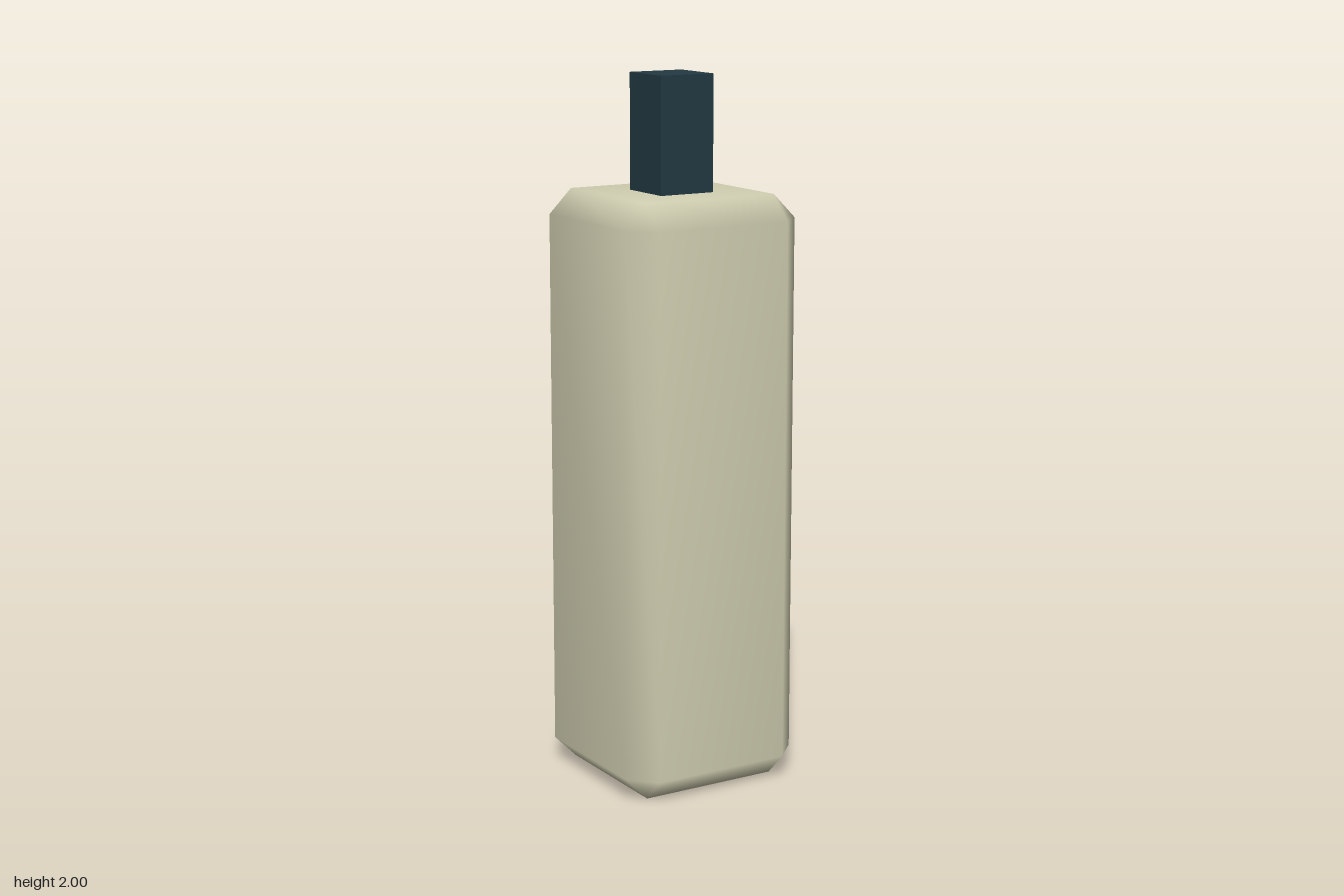
import * as THREE from 'three';
import { ConvexGeometry } from 'three/addons/geometries/ConvexGeometry.js';
import { mergeVertices } from 'three/addons/utils/BufferGeometryUtils.js';

// Box with single-facet bevels on every edge and softly shaded normals
function bevelledBox(w, h, d, bevel) {
  const half = [w / 2, h / 2, d / 2];
  const points = [];
  for (const sx of [-1, 1]) for (const sy of [-1, 1]) for (const sz of [-1, 1]) {
    const sign = [sx, sy, sz];
    for (let axis = 0; axis < 3; axis++) {
      const p = half.map((v, i) => sign[i] * (i === axis ? v : v - bevel));
      points.push(new THREE.Vector3(...p));
    }
  }
  const hull = new ConvexGeometry(points);
  hull.deleteAttribute('normal');
  const geometry = mergeVertices(hull, 1e-4);
  geometry.computeVertexNormals();
  return geometry;
}

export function createModel() {
  const cream = new THREE.MeshStandardMaterial({ color: 0xd3d1b3 });
  cream.name = 'cream';
  const darkTeal = new THREE.MeshStandardMaterial({ color: 0x243a43 });
  darkTeal.name = 'dark teal';

  const model = new THREE.Group();
  model.name = 'bottle';

  // Tall square body
  const body = new THREE.Mesh(bevelledBox(0.547, 1.675, 0.547, 0.069), cream);
  body.name = 'body';
  body.position.y = 1.675 / 2;
  model.add(body);

  // Square neck, set slightly into the body
  const neck = new THREE.Mesh(new THREE.BoxGeometry(0.167, 0.335, 0.167), darkTeal);
  neck.name = 'neck';
  neck.position.y = 2 - 0.335 / 2;
  model.add(neck);

  return model;
}
